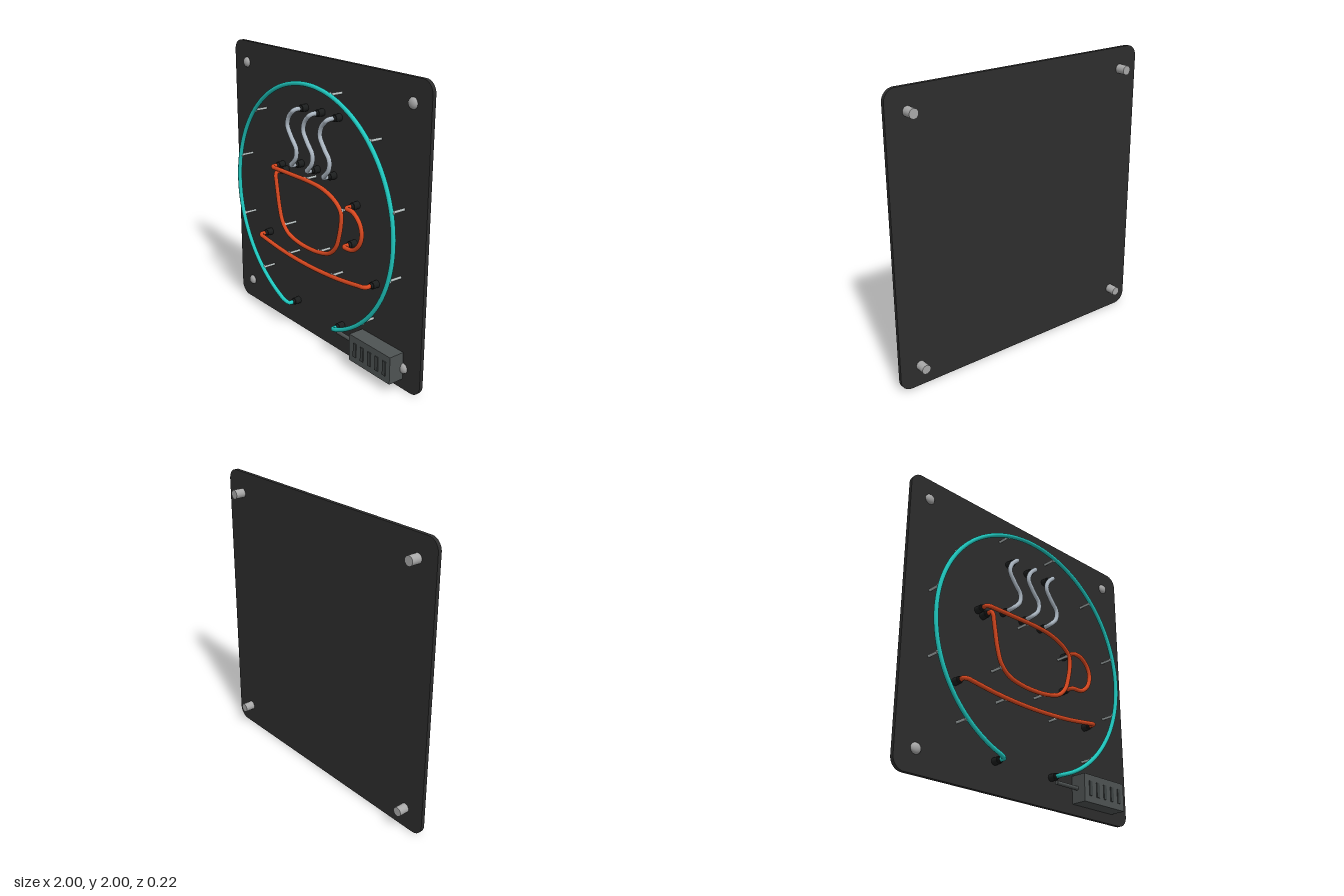
import * as THREE from 'three';

const mat = (name, color) => {
  const m = new THREE.MeshStandardMaterial({ color });
  m.name = name;
  return m;
};

export function createModel() {
  const panelMat = mat('charcoal panel', 0x2d2d2d);
  const teal = mat('teal tube', 0x1fc9c0);
  const orange = mat('orange tube', 0xd9481f);
  const white = mat('pale steam tube', 0xacb7c2);
  const capMat = mat('black rubber', 0x1c1e1e);
  const metal = mat('brushed metal', 0xa8a8a8);
  const clear = mat('clear support', 0xb4bcbc);
  const boxMat = mat('grey housing', 0x4e5353);
  const ventMat = mat('dark vent', 0x3f4444);

  const group = new THREE.Group();
  const FRONT = -0.01, TUBE_Z = 0.093;

  const add = (name, geo, material, x = 0, y = 0, z = 0) => {
    const mesh = new THREE.Mesh(geo, material);
    mesh.name = name;
    mesh.position.set(x, y, z);
    group.add(mesh);
    return mesh;
  };
  // cylinder along z between two depths
  const rod = (name, material, x, y, z0, z1, r, sides = 16) =>
    add(name, new THREE.CylinderGeometry(r, r, z1 - z0, sides).rotateX(Math.PI / 2), material, x, y, (z0 + z1) / 2);

  // backing panel with rounded corners
  const s = new THREE.Shape(), c = 0.08;
  s.moveTo(-1 + c, 0);
  s.lineTo(1 - c, 0);
  s.absarc(1 - c, c, c, -Math.PI / 2, 0);
  s.absarc(1 - c, 2 - c, c, 0, Math.PI / 2);
  s.absarc(-1 + c, 2 - c, c, Math.PI / 2, Math.PI);
  s.absarc(-1 + c, c, c, Math.PI, Math.PI * 1.5);
  add('backPanel', new THREE.ExtrudeGeometry(s, { depth: 0.026, bevelEnabled: false, curveSegments: 10 }), panelMat, 0, 0, -0.036);

  // wall standoffs with domed screw heads
  for (const x of [-0.85, 0.85]) for (const y of [0.15, 1.85]) {
    rod('standoff', metal, x, y, -0.108, -0.034, 0.032, 24);
    const dome = new THREE.SphereGeometry(0.036, 20, 8, 0, Math.PI * 2, 0, Math.PI / 2).rotateX(Math.PI / 2).scale(1, 1, 0.65);
    add('screwHead', dome, metal, x, y, FRONT);
  }

  // bent glass tube whose ends turn back into rubber electrode caps
  const neon = (name, points, material, r = 0.015, n = 60) => {
    const flat = new THREE.CatmullRomCurve3(points.map(([x, y]) => new THREE.Vector3(x, y, TUBE_Z)));
    const path = flat.getSpacedPoints(n);
    const a = path.shift(), b = path.pop();
    const at = (p, z) => new THREE.Vector3(p.x, p.y, z);
    const full = new THREE.CatmullRomCurve3([at(a, 0.045), at(a, 0.078), ...path, at(b, 0.078), at(b, 0.045)]);
    add(name, new THREE.TubeGeometry(full, n * 3, r, 10), material);
    for (const p of [a, b]) {
      rod('electrodeCap', capMat, p.x, p.y, FRONT, 0.036, 0.025);
      rod('electrodeNeck', capMat, p.x, p.y, 0.036, 0.052, 0.019);
    }
  };

  // open ring
  const R = 0.832, ring = [];
  for (let i = 0; i <= 60; i++) {
    const t = THREE.MathUtils.degToRad(-72.6 + 325.2 * i / 60);
    ring.push([R * Math.cos(t), 1 + R * Math.sin(t)]);
  }
  neon('ringTube', ring, teal, 0.015, 100);

  // cup, handle and saucer
  neon('cupTube', [[-0.42, 1.192], [-0.2, 1.193], [0.02, 1.192], [0.16, 1.177], [0.28, 1.132], [0.337, 1.08],
    [0.346, 1.02], [0.325, 0.9], [0.295, 0.82], [0.23, 0.756], [0.12, 0.725], [0, 0.717], [-0.12, 0.725],
    [-0.23, 0.756], [-0.295, 0.82], [-0.328, 0.91], [-0.352, 1.03], [-0.375, 1.165]], orange, 0.015, 80);
  neon('handleTube', [[0.385, 1.112], [0.46, 1.105], [0.525, 1.05], [0.546, 0.98], [0.523, 0.905], [0.46, 0.852], [0.365, 0.845]], orange, 0.015, 30);
  neon('saucerTube', [[-0.585, 0.637], [-0.3, 0.601], [0, 0.588], [0.3, 0.601], [0.585, 0.637]], orange, 0.015, 50);

  // three steam curls
  for (const dx of [0, 0.175, 0.35]) {
    neon('steamTube', [[-0.15, 1.645], [-0.21, 1.585], [-0.225, 1.525], [-0.18, 1.45], [-0.13, 1.385], [-0.135, 1.32], [-0.2, 1.25]]
      .map(([x, y]) => [x + dx, y]), white, 0.016, 30);
  }

  // clear support posts with small clips behind the tubes
  const posts = [[-0.05, 1.193], [0.337, 1.08], [0.1, 0.722], [-0.283, 0.8], [-0.24, 0.597], [0.24, 0.597]];
  for (const d of [-48, -17, 14, 45, 75, 106, 138, 167, 198, 228]) {
    const t = THREE.MathUtils.degToRad(d);
    posts.push([R * Math.cos(t), 1 + R * Math.sin(t)]);
  }
  for (const [x, y] of posts) {
    rod('supportPost', clear, x, y, FRONT, 0.085, 0.009, 10);
    rod('supportClip', clear, x, y, 0.08, 0.092, 0.017, 12);
  }

  // power supply with vent bars and lead
  add('powerBox', new THREE.BoxGeometry(0.394, 0.19, 0.112), boxMat, 0.648, 0.165, 0.046);
  for (let i = 0; i < 5; i++) {
    add('ventBar', new THREE.BoxGeometry(0.028, 0.1, 0.008), ventMat, 0.51 + i * 0.071, 0.165, 0.104);
  }
  add('powerLead', new THREE.CylinderGeometry(0.014, 0.014, 0.2, 14).rotateZ(Math.PI / 2), boxMat, 0.355, 0.168, 0.035);

  return group;
}
